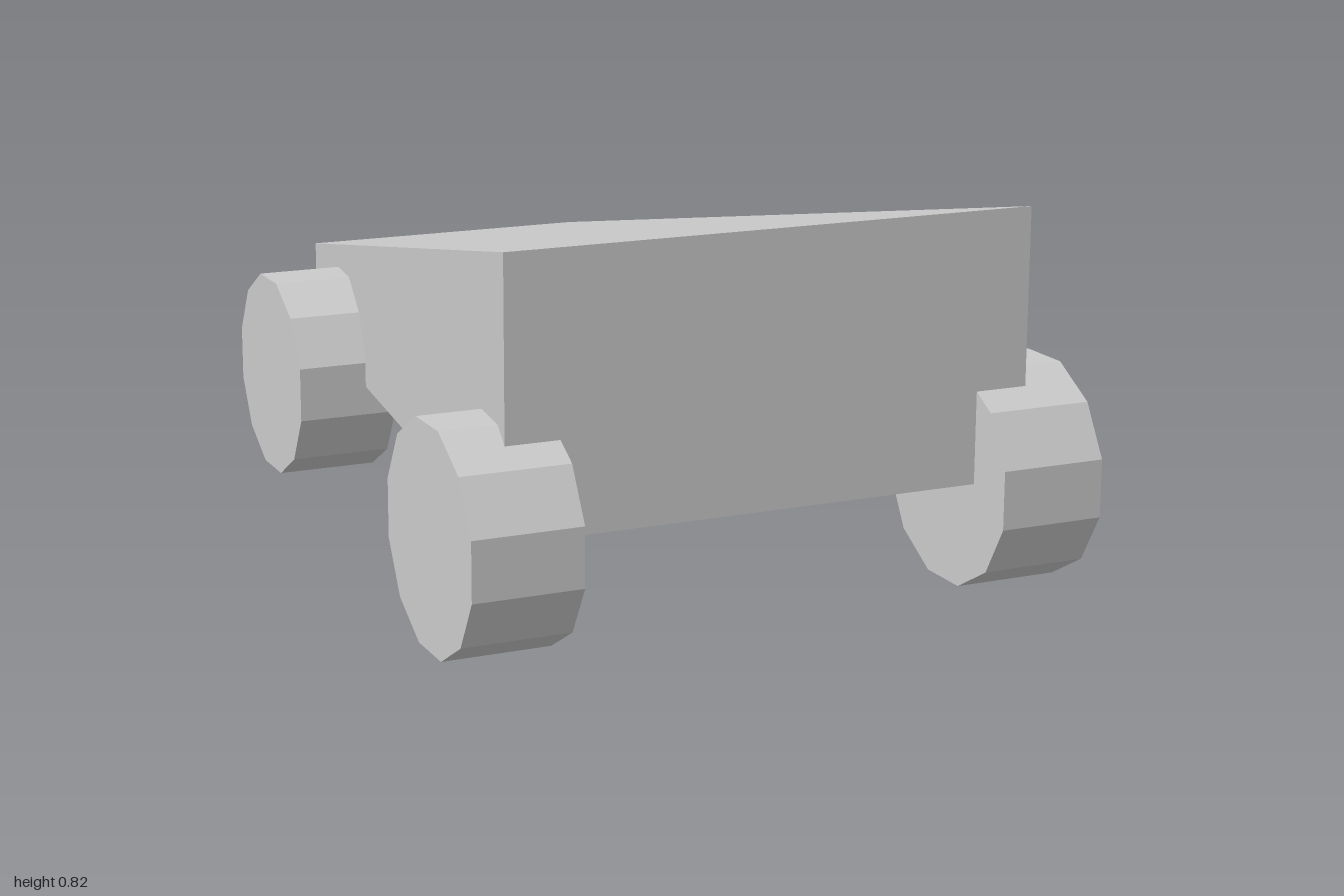
import * as THREE from 'three';

const material = new THREE.MeshStandardMaterial({ color: 0xcccccc, flatShading: true });

// Wedge body: a box whose corners taper towards the low, narrow back
function createBody() {
  const zFront = 0.88, zBack = -1, bottom = 0.24;
  const geometry = new THREE.BoxGeometry(1, 1, 1);
  const pos = geometry.attributes.position;
  for (let i = 0; i < pos.count; i++) {
    const front = pos.getZ(i) > 0;
    const halfWidth = front ? 0.587 : 0.352;
    const top = front ? 0.823 : 0.472;
    pos.setXYZ(
      i,
      Math.sign(pos.getX(i)) * halfWidth,
      pos.getY(i) > 0 ? top : bottom,
      front ? zFront : zBack
    );
  }
  geometry.computeVertexNormals();
  const body = new THREE.Mesh(geometry, material);
  body.name = 'body';
  return body;
}

export function createModel() {
  const model = new THREE.Group();
  model.name = 'wedgeCar';
  model.add(createBody());

  // Twelve-sided wheels, resting on a flat side
  const apothem = 0.235, width = 0.235;
  const radius = apothem / Math.cos(Math.PI / 12);
  const wheelGeometry = new THREE.CylinderGeometry(radius, radius, width, 12, 1, false, Math.PI / 12);
  wheelGeometry.rotateZ(Math.PI / 2);

  const axles = [
    { name: 'front', x: 0.587, z: 0.765 },
    { name: 'rear', x: 0.47, z: -0.647 },
  ];
  for (const { name, x, z } of axles) {
    for (const side of [1, -1]) {
      const wheel = new THREE.Mesh(wheelGeometry, material);
      wheel.name = name + (side > 0 ? 'Left' : 'Right') + 'Wheel';
      wheel.position.set(side * x, apothem, z);
      model.add(wheel);
    }
  }
  return model;
}
